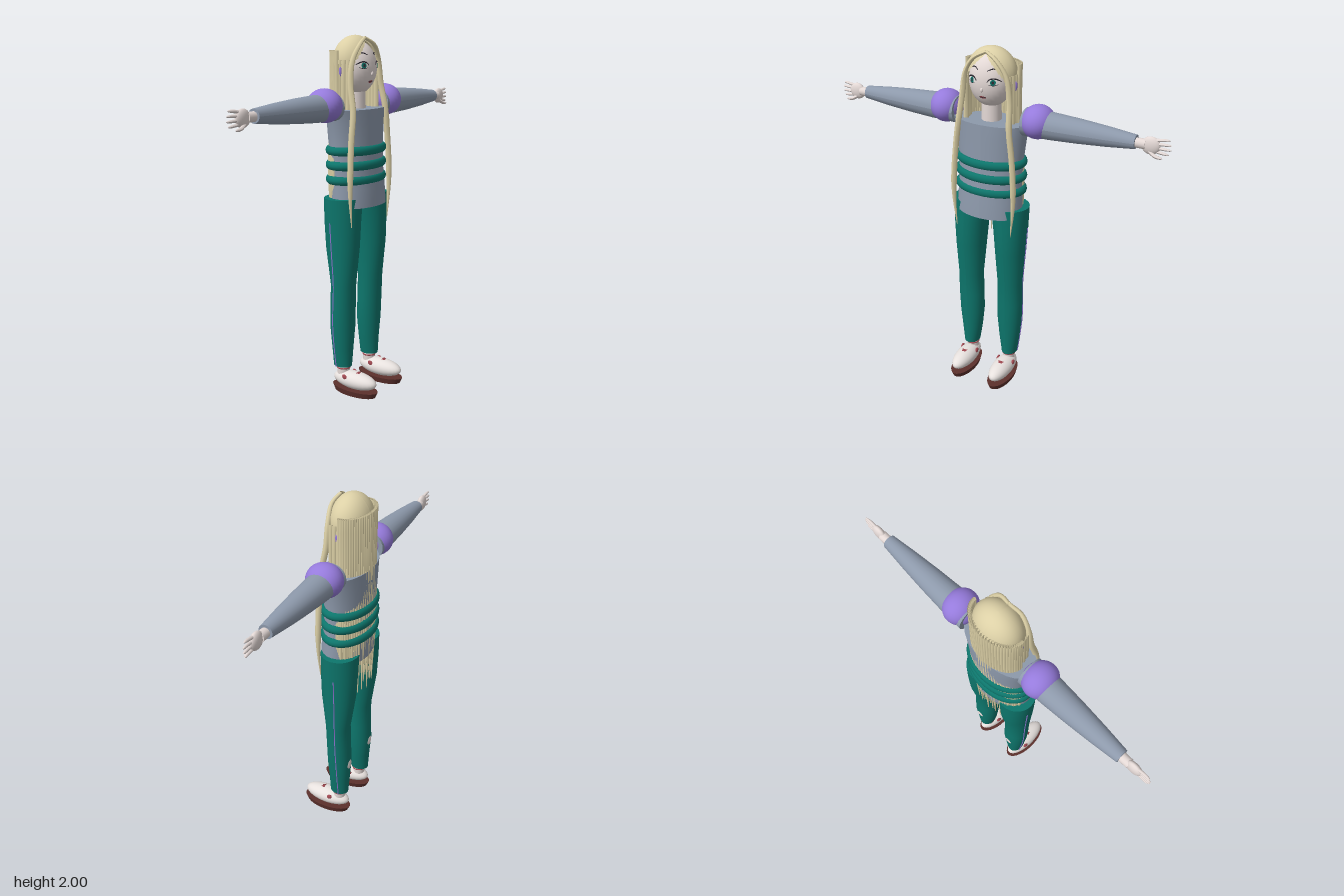
import * as THREE from 'three';

const mat = (name, color, side = THREE.FrontSide) => {
  const m = new THREE.MeshStandardMaterial({ color, side });
  m.name = name;
  return m;
};

export function createModel() {
  const skin = mat('skin', 0xe3d8d5), hair = mat('blonde hair', 0xdcd0a6, THREE.DoubleSide);
  const grey = mat('blue grey cloth', 0x8d99ab), teal = mat('teal cloth', 0x0d766c);
  const purple = mat('purple', 0x967bdc), brown = mat('sole brown', 0x5c302c);
  const red = mat('red', 0xa04850), dark = mat('dark lines', 0x302c34);
  const white = mat('shoe white', 0xebe5e2);

  const root = new THREE.Group();
  const add = (name, geo, material, pos = [0, 0, 0], scale = [1, 1, 1], rot = [0, 0, 0], parent = root) => {
    const m = new THREE.Mesh(geo, material);
    m.name = name;
    m.position.set(...pos);
    m.scale.set(...scale);
    m.rotation.set(...rot);
    parent.add(m);
    return m;
  };
  const ball = new THREE.SphereGeometry(1, 28, 18);
  const vec = (p) => new THREE.Vector3(...p);

  // Closed solid through elliptical sections, listed top to bottom: [y, cx, cz, rx, rz]
  const loft = (rows, n = 28) => {
    const g = new THREE.CylinderGeometry(1, 1, 1, n, rows.length - 1);
    const p = g.attributes.position;
    for (let i = 0; i < p.count; i++) {
      const [y, cx, cz, rx, rz] = rows[Math.round((0.5 - p.getY(i)) * (rows.length - 1))];
      p.setXYZ(i, cx + p.getX(i) * rx, y, cz + p.getZ(i) * rz);
    }
    g.computeVertexNormals();
    return g;
  };

  // Round strand along points, with the radius given by a function of 0..1
  const strand = (points, radius, segs = 24, sides = 7) => {
    const curve = new THREE.CatmullRomCurve3(points.map(vec));
    const g = new THREE.TubeGeometry(curve, segs, 1, sides);
    const p = g.attributes.position, v = new THREE.Vector3();
    for (let i = 0; i < p.count; i++) {
      const t = Math.floor(i / (sides + 1)) / segs, c = curve.getPointAt(t);
      v.fromBufferAttribute(p, i).sub(c).multiplyScalar(radius(t)).add(c);
      p.setXYZ(i, v.x, v.y, v.z);
    }
    g.computeVertexNormals();
    return g;
  };

  // Torso, neck and waist bands
  add('torso', loft([
    [1.61, 0, -0.045, 0.222, 0.12], [1.54, 0, -0.045, 0.205, 0.122], [1.42, 0, -0.043, 0.19, 0.122],
    [1.3, 0, -0.04, 0.186, 0.122], [1.18, 0, -0.033, 0.19, 0.128], [1.08, 0, -0.028, 0.195, 0.13]]), grey);
  add('neck', new THREE.CylinderGeometry(0.052, 0.055, 0.15, 20), skin, [0, 1.67, -0.045]);
  for (const y of [1.39, 1.31, 1.23]) {
    add('waistBand', new THREE.TorusGeometry(0.184, 0.025, 12, 40), teal, [0, y, -0.042], [1, 0.67, 1], [Math.PI / 2, 0, 0]);
  }

  // Head and face
  const hc = [0, 1.828, -0.04], hr = [0.119, 0.144, 0.107];
  add('head', ball, skin, hc, hr);
  const onFace = (x, y, off = 0.002) => [x, y,
    hc[2] + hr[2] * Math.sqrt(Math.max(0, 1 - (x / hr[0]) ** 2 - ((y - hc[1]) / hr[1]) ** 2)) + off];
  const facePatch = (name, x, y, rx, ry, material, off) => {
    const g = new THREE.RingGeometry(0.001, 1, 24, 4), p = g.attributes.position;
    for (let i = 0; i < p.count; i++) p.setXYZ(i, ...onFace(x + p.getX(i) * rx, y + p.getY(i) * ry, off));
    g.computeVertexNormals();
    add(name, g, material);
  };
  const faceLine = (name, pts, r, material) =>
    add(name, strand(pts.map(([x, y]) => onFace(x, y)), (t) => r * (0.4 + 0.6 * Math.sin(Math.PI * t)), 14, 6), material);
  for (const s of [1, -1]) {
    facePatch('eyeWhite', s * 0.061, 1.841, 0.028, 0.015, white, 0.002);
    facePatch('iris', s * 0.06, 1.841, 0.013, 0.015, teal, 0.0035);
    facePatch('pupil', s * 0.06, 1.841, 0.006, 0.008, dark, 0.005);
    faceLine('upperLash', [[s * 0.03, 1.842], [s * 0.045, 1.857], [s * 0.068, 1.86], [s * 0.096, 1.845]], 0.004, dark);
    faceLine('lowerLash', [[s * 0.04, 1.829], [s * 0.062, 1.825], [s * 0.085, 1.832]], 0.002, dark);
    faceLine('brow', [[s * 0.025, 1.896], [s * 0.055, 1.907], [s * 0.085, 1.892]], 0.003, dark);
    add('earring', ball, purple, [s * 0.142, 1.81, -0.042], [0.008, 0.028, 0.009]);
  }
  facePatch('mouth', 0, 1.755, 0.019, 0.007, red, 0.002);
  faceLine('mouthLine', [[-0.02, 1.757], [0, 1.754], [0.02, 1.757]], 0.002, dark);
  add('nose', ball, skin, onFace(0, 1.797, 0), [0.008, 0.012, 0.007]);

  // Hair cap, cut away in front in an arch with a centre parting
  const cap = new THREE.SphereGeometry(1, 48, 18), cp = cap.attributes.position;
  for (let i = 0; i < cp.count; i++) {
    const row = Math.floor(i / 49) / 18, az = ((i % 49) / 48) * Math.PI * 2 - Math.PI;
    const th = row * Math.min(2.2, 0.62 + 1.2 * Math.abs(az));
    cp.setXYZ(i, Math.sin(th) * Math.sin(az), Math.cos(th), Math.sin(th) * Math.cos(az));
  }
  cap.computeVertexNormals();
  add('hairCap', cap, hair, [0, 1.855, -0.05], [0.14, 0.145, 0.11]);

  // Back curtain of thin hanging strands
  const count = 31;
  for (let i = 0; i < count; i++) {
    const a = (i / (count - 1) - 0.5) * Math.PI, x = Math.sin(a), z = -Math.cos(a);
    const end = 0.92 + 0.06 * Math.sin(i * 2.4);
    add('backHairStrand', strand([
      [x * 0.152, 1.92, -0.058 + z * 0.1], [x * 0.153, 1.6, -0.058 + z * 0.1],
      [x * 0.178, 1.3, -0.06 + z * 0.095], [x * 0.165, end, -0.06 + z * 0.087]],
    (t) => 0.0105 * (t < 0.7 ? 1 : 1 - (t - 0.7) * 2.6), 14, 6), hair);
  }

  // Front locks: one framing the face and falling down the chest, one short at the side
  for (const s of [1, -1]) {
    add('longFrontLock', strand([
      [0, 1.985, 0.015], [s * 0.065, 1.95, 0.03], [s * 0.118, 1.87, 0.022], [s * 0.138, 1.75, 0.022],
      [s * 0.15, 1.6, 0.048], [s * 0.168, 1.45, 0.05], [s * 0.18, 1.3, 0.052], [s * 0.182, 1.15, 0.052], [s * 0.168, 0.98, 0.05]],
    (t) => (t < 0.25 ? 0.009 + 0.03 * t : t < 0.75 ? 0.0165 : 0.0165 - (t - 0.75) * 0.058), 44, 8), hair);
    for (const [z, x] of [[0, 0.128], [-0.025, 0.134], [-0.05, 0.138]]) {
      add('sideLock', strand([[s * x * 0.97, 1.87, z], [s * x, 1.76, z], [s * x, 1.6, z]], () => 0.015, 10, 7), hair);
    }
  }

  // Limbs, built on the model's left and mirrored by sign
  for (const s of [1, -1]) {
    const arm = new THREE.Group();
    arm.name = s > 0 ? 'leftArm' : 'rightArm';
    root.add(arm);
    const put = (name, geo, m, pos, scale, rot) => add(name, geo, m, pos, scale, rot, arm);
    put('shoulderPuff', ball, purple, [s * 0.273, 1.64, -0.045], [0.09, 0.09, 0.099]);
    put('sleeve', loft([[0.6, 0, 0, 0.036, 0.037], [0.45, 0, 0, 0.052, 0.053], [0.3, 0, 0, 0.064, 0.066],
      [0.15, 0, 0, 0.072, 0.076], [0, 0, 0, 0.074, 0.08]], 24), grey, [s * 0.2, 1.628, -0.047], [1, 1, 1], [0, 0, -s * Math.PI / 2]);
    put('wrist', new THREE.CylinderGeometry(0.025, 0.026, 0.07, 16), skin, [s * 0.815, 1.626, -0.047], [1, 1, 1], [0, 0, Math.PI / 2]);
    put('palm', ball, skin, [s * 0.875, 1.624, -0.047], [0.048, 0.046, 0.022]);
    const finger = (name, pts, r) => put(name, strand(pts.map(([x, y, z]) => [s * x, y, z]),
      (t) => r * Math.sqrt(Math.max(0, 1 - t ** 4)), 10, 8), skin);
    for (let i = 0; i < 4; i++) {
      const k = i - 1.5, tip = 0.983 - Math.abs(k) * 0.009;
      finger('finger', [[0.895, 1.626 + k * 0.019, -0.047], [0.94, 1.627 + k * 0.023, -0.047], [tip, 1.626 + k * 0.025, -0.05]], 0.0085);
    }
    finger('thumb', [[0.865, 1.6, -0.04], [0.905, 1.578, -0.03], [0.945, 1.573, -0.027]], 0.01);

    const leg = [
      [1.13, 0.115, -0.045, 0.112, 0.105], [1.0, 0.123, -0.044, 0.098, 0.104], [0.85, 0.126, -0.042, 0.087, 0.098],
      [0.64, 0.128, -0.038, 0.074, 0.07], [0.5, 0.127, -0.042, 0.076, 0.068], [0.38, 0.126, -0.046, 0.073, 0.069],
      [0.26, 0.126, -0.046, 0.061, 0.06], [0.15, 0.128, -0.045, 0.045, 0.055]].map(([y, x, ...r]) => [y, s * x, ...r]);
    add('trouserLeg', loft(leg), teal);
    add('sideSeam', strand(leg.slice(1).map(([y, x, z, rx]) => [x + s * rx, y, z - 0.015]), () => 0.003, 30, 5), purple);
    add('calfPatch', ball, skin, [s * 0.126, 0.375, -0.1], [0.028, 0.045, 0.018]);
    add('ankle', new THREE.CylinderGeometry(0.036, 0.036, 0.1, 18), skin, [s * 0.125, 0.13, -0.042]);
    add('ankleStrap', new THREE.TorusGeometry(0.036, 0.004, 8, 24), red, [s * 0.125, 0.137, -0.042], [1, 1, 1], [Math.PI / 2, 0, 0]);

    // Shoes
    add('shoe', ball, white, [s * 0.125, 0.076, 0.039], [0.06, 0.05, 0.144]);
    add('sole', new THREE.CylinderGeometry(1, 0.9, 0.032, 36), brown, [s * 0.125, 0.016, 0.039], [0.068, 1, 0.151]);
    add('shoeBow', new THREE.ConeGeometry(0.02, 0.045, 3), red, [s * 0.125, 0.121, 0.08], [1, 1, 0.4], [Math.PI / 2 + 0.12, 0, 0]);
    for (const k of [1, -1]) {
      add('shoeSideTrim', ball, red, [s * 0.125 + k * 0.049, 0.1, 0.002], [0.009, 0.013, 0.018], [0.6, 0, 0]);
    }
  }
  return root;
}
